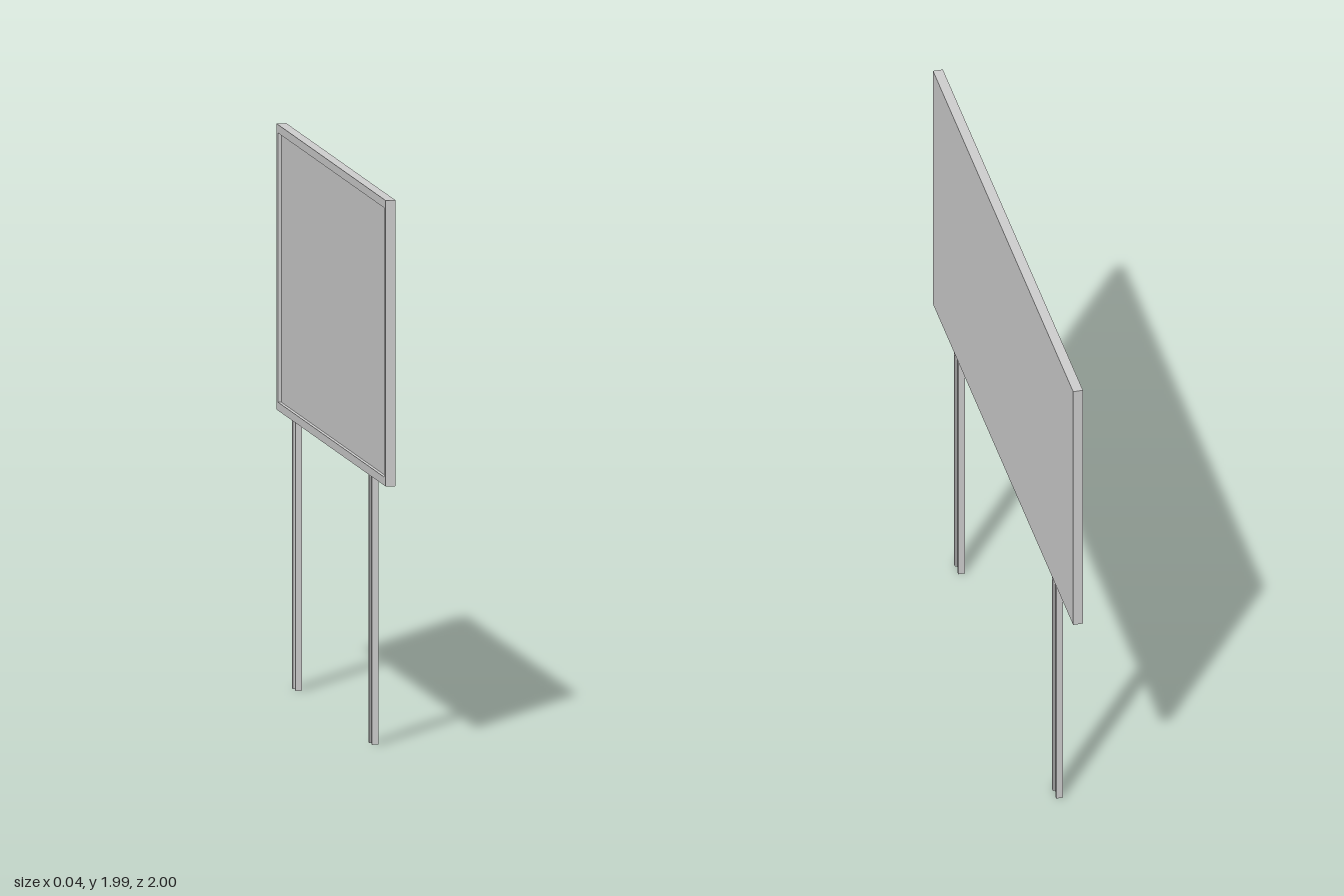
import * as THREE from 'three';

const material = new THREE.MeshStandardMaterial({ color: 0xcccccc, flatShading: true });

// Box given by its lower and upper corners
function box(name, [x0, y0, z0], [x1, y1, z1]) {
  const mesh = new THREE.Mesh(new THREE.BoxGeometry(x1 - x0, y1 - y0, z1 - z0), material);
  mesh.name = name;
  mesh.position.set((x0 + x1) / 2, (y0 + y1) / 2, (z0 + z1) / 2);
  return mesh;
}

export function createModel() {
  const model = new THREE.Group();
  model.name = 'billboard';
  const bottom = 0.965, top = 1.993, half = 0.018, rim = 0.03, recess = 0.012;

  // Board: plain on +x, with a raised rim around a shallow recess on -x
  const board = new THREE.Group();
  board.name = 'board';
  const back = -half + recess;
  board.add(box('panel', [back, bottom, -1], [half, top, 1]));
  const outline = new THREE.Shape([[-1, bottom], [1, bottom], [1, top], [-1, top]]
    .map(([u, v]) => new THREE.Vector2(u, v)));
  outline.holes.push(new THREE.Path([
    [-1 + rim, bottom + rim], [-1 + rim, top - rim], [1 - rim, top - rim], [1 - rim, bottom + rim],
  ].map(([u, v]) => new THREE.Vector2(u, v))));
  const frame = new THREE.Mesh(
    new THREE.ExtrudeGeometry(outline, { depth: recess, bevelEnabled: false }), material);
  frame.name = 'frame';
  frame.rotation.y = -Math.PI / 2;
  frame.position.x = back;
  board.add(frame);
  model.add(board);

  // Posts: two flanges joined by a thinner web
  const x0 = -0.016, x1 = 0.008, flange = 0.012;
  for (const [name, z] of [['frontPost', 0.708], ['backPost', -0.69]]) {
    const post = new THREE.Group();
    post.name = name;
    const z0 = z - 0.03, z1 = z + 0.03;
    post.add(
      box('flange', [x0, 0, z0], [x1, bottom, z0 + flange]),
      box('flange', [x0, 0, z1 - flange], [x1, bottom, z1]),
      box('web', [x0 + 0.007, 0, z0 + flange], [x1 - 0.007, bottom, z1 - flange]),
    );
    model.add(post);
  }
  return model;
}
